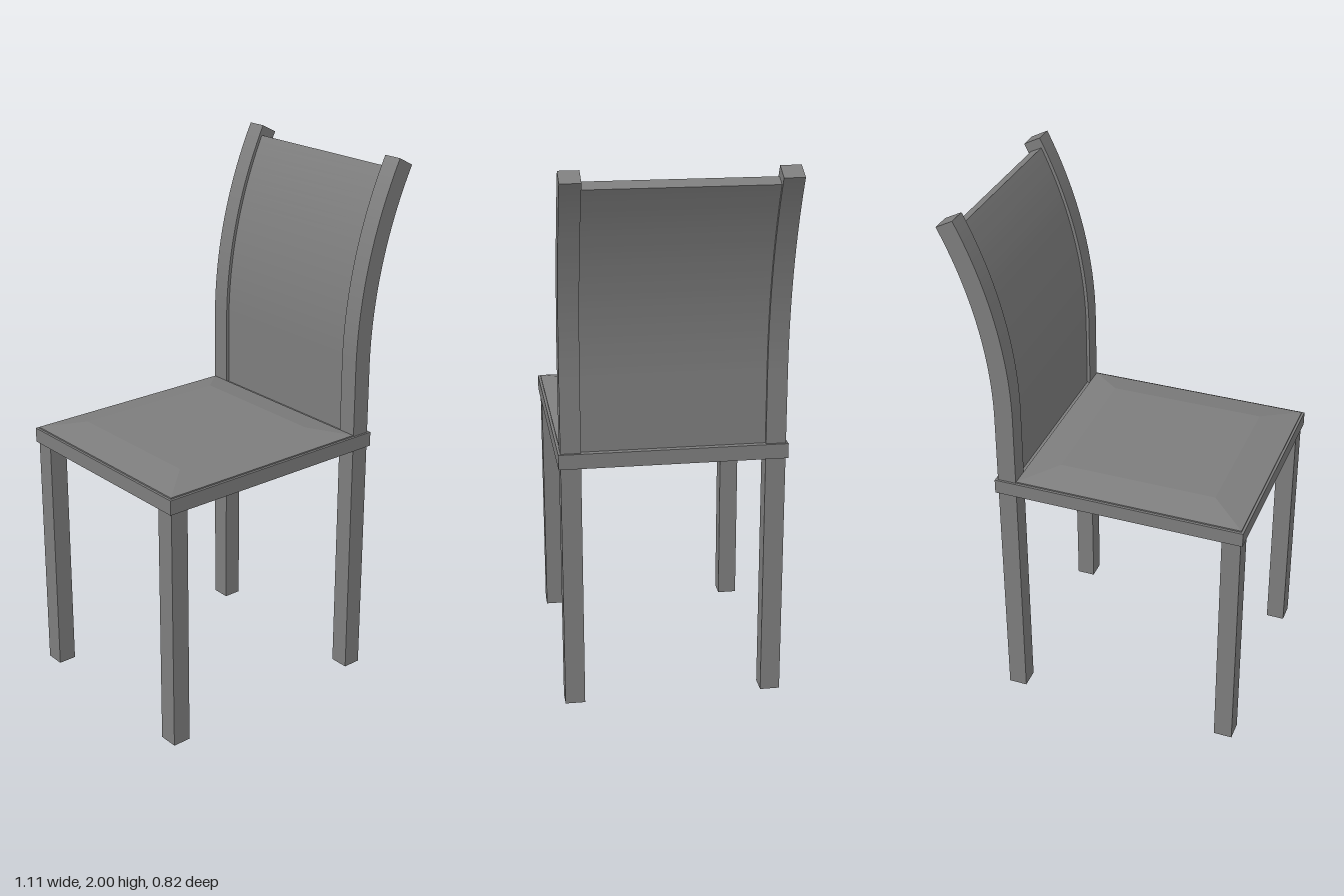
import * as THREE from 'three';

const material = new THREE.MeshStandardMaterial({ color: 0x7d7d7d });
const SEAT_TOP = 0.985;
const REAR_X = 0.343;

function addMesh(parent, name, geometry, x = 0, y = 0, z = 0) {
  const mesh = new THREE.Mesh(geometry, material);
  mesh.name = name;
  mesh.position.set(x, y, z);
  parent.add(mesh);
}

// Side profile of the backrest: straight up, then an arc leaning back, extruded along z
function bentSlab(thickness, width, endAngle) {
  const arcY = 1.245, radius = 1.63, half = thickness / 2;
  const cx = REAR_X + radius;
  const shape = new THREE.Shape();
  shape.moveTo(REAR_X + half, SEAT_TOP);
  shape.lineTo(REAR_X + half, arcY);
  shape.absarc(cx, arcY, radius - half, Math.PI, Math.PI - endAngle, true);
  shape.absarc(cx, arcY, radius + half, Math.PI - endAngle, Math.PI, false);
  shape.lineTo(REAR_X - half, SEAT_TOP);
  const geometry = new THREE.ExtrudeGeometry(shape, { depth: width, bevelEnabled: false, curveSegments: 16 });
  return geometry.translate(0, 0, -width / 2);
}

// Pad made of rectangular rings: a thin edge, sloping sides and a flat top, with crisp facets
function cushionGeometry() {
  const rings = [
    [-0.545, 0.307, 0.403, SEAT_TOP],
    [-0.545, 0.307, 0.403, 0.99],
    [-0.41, 0.18, 0.28, 1.016],
  ];
  const positions = [], indices = [];
  for (const [x0, x1, z, y] of rings) {
    positions.push(x0, y, z, x1, y, z, x1, y, -z, x0, y, -z);
  }
  for (let r = 0; r < rings.length - 1; r++) {
    for (let i = 0; i < 4; i++) {
      const a = r * 4 + i, b = r * 4 + (i + 1) % 4;
      indices.push(a, b, b + 4, a, b + 4, a + 4);
    }
  }
  indices.push(8, 9, 10, 8, 10, 11);
  const indexed = new THREE.BufferGeometry();
  indexed.setAttribute('position', new THREE.Float32BufferAttribute(positions, 3));
  indexed.setIndex(indices);
  const geometry = indexed.toNonIndexed();
  geometry.computeVertexNormals();
  return geometry;
}

export function createModel() {
  const chair = new THREE.Group();
  chair.name = 'chair';

  // Seat
  addMesh(chair, 'seatFrame', new THREE.BoxGeometry(0.942, 0.055, 0.825), -0.083, 0.9575, 0);
  addMesh(chair, 'seatCushion', cushionGeometry());

  // Legs and back posts, mirrored across z
  const legGeometry = new THREE.BoxGeometry(0.07, 0.93, 0.073);
  const postGeometry = bentSlab(0.07, 0.073, 0.471);
  for (const side of [-1, 1]) {
    const z = side * 0.368;
    addMesh(chair, 'frontLeg', legGeometry, -0.51, 0.465, z);
    addMesh(chair, 'rearLeg', legGeometry, REAR_X, 0.465, z);
    addMesh(chair, 'backPost', postGeometry, 0, 0, z);
  }

  // Thin curved panel between the posts
  addMesh(chair, 'backPanel', bentSlab(0.046, 0.664, 0.449));
  return chair;
}
